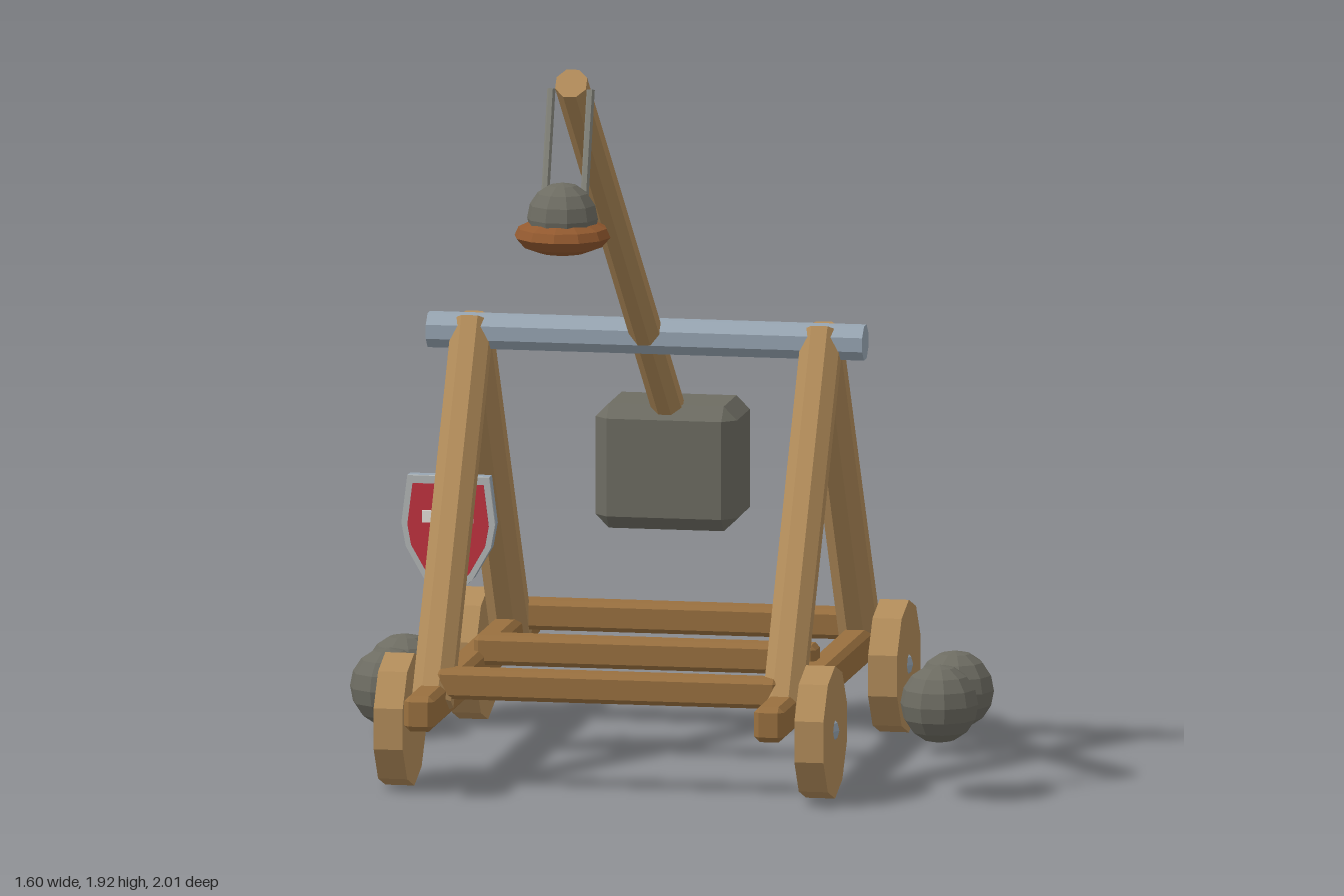
import * as THREE from 'three';
import { ConvexGeometry } from 'three/addons/geometries/ConvexGeometry.js';

const mat = (color, extra = {}) => new THREE.MeshStandardMaterial({ color, flatShading: true, ...extra });
const wood = mat(0xb28c5a);
const darkWood = mat(0x99703f);
const metal = mat(0x98a6b3);
const stone = mat(0x6d6c62);
const leather = mat(0x92592f);
const rope = mat(0x85857c);
const steel = mat(0xb4b8b8);
const red = mat(0xc23340);
const white = mat(0xe4e0da);

const V = (x, y, z) => new THREE.Vector3(x, y, z);

// Box with every edge chamfered by c
function chamferBox(w, h, d, c) {
  const points = [];
  for (const sx of [-1, 1]) for (const sy of [-1, 1]) for (const sz of [-1, 1]) {
    const x = w / 2, y = h / 2, z = d / 2;
    points.push(
      V(sx * x, sy * (y - c), sz * (z - c)),
      V(sx * (x - c), sy * y, sz * (z - c)),
      V(sx * (x - c), sy * (y - c), sz * z));
  }
  return new ConvexGeometry(points);
}

// Straight pole between two points, flat side outward; r is the half width
function pole(a, b, r, sides = 8) {
  const dir = b.clone().sub(a);
  const geo = new THREE.CylinderGeometry(r, r, dir.length(), sides);
  geo.scale(1 / Math.cos(Math.PI / sides), 1, 1 / Math.cos(Math.PI / sides));
  geo.rotateY(Math.PI / sides);
  geo.applyQuaternion(new THREE.Quaternion().setFromUnitVectors(V(0, 1, 0), dir.normalize()));
  const mid = a.clone().add(b).multiplyScalar(0.5);
  return geo.translate(mid.x, mid.y, mid.z);
}

// Shield outline around its own centre line, scaled toward the middle
function shieldShape(s) {
  const half = [[0.104, 0.15], [0.119, 0.03], [0.108, -0.03], [0.062, -0.11]];
  const pts = [
    ...half.map(([x, y]) => new THREE.Vector2(x * s, y * s)),
    new THREE.Vector2(0, -0.17 * s),
    ...half.slice().reverse().map(([x, y]) => new THREE.Vector2(-x * s, y * s)),
  ];
  return new THREE.Shape(pts.reverse());
}

export function createModel() {
  const model = new THREE.Group();
  model.name = 'catapult';
  const add = (name, geo, material, x = 0, y = 0, z = 0, parent = model) => {
    const mesh = new THREE.Mesh(geo, material);
    mesh.name = name;
    mesh.position.set(x, y, z);
    parent.add(mesh);
    return mesh;
  };

  // Base frame: cross beams between two side rails
  for (const z of [0.26, -0.26, -0.8]) {
    add('crossBeam', chamferBox(0.87, 0.075, 0.075, 0.012), darkWood, 0, 0.267, z);
  }

  for (const s of [-1, 1]) {
    const side = s > 0 ? 'left' : 'right';
    add(side + 'Rail', chamferBox(0.076, 0.09, 1.475, 0.014), darkWood, s * 0.445, 0.22, -0.262);

    // A-frame legs leaning together under the pivot bar
    add(side + 'FrontLeg', pole(V(s * 0.445, 0.215, 0.28), V(s * 0.445, 1.09, -0.268), 0.05), wood);
    add(side + 'BackLeg', pole(V(s * 0.445, 0.215, -0.8), V(s * 0.445, 1.09, -0.252), 0.05), wood);

    // Wheels with rounded hubs
    for (const z of [0.242, -0.766]) {
      const wheel = new THREE.CylinderGeometry(0.168, 0.168, 0.074, 10);
      wheel.rotateY(Math.PI / 10).rotateZ(Math.PI / 2);
      add(side + 'Wheel', wheel, wood, s * 0.535, 0.168, z);
      add(side + 'Hub', new THREE.SphereGeometry(0.038, 8, 6), metal, s * 0.545, 0.173, z);
    }

    // Spare stones on the ground
    for (const z of [-0.495, -0.71]) {
      add(side + 'SpareStone', new THREE.SphereGeometry(0.099, 10, 8), stone, s * 0.7, 0.122, z);
    }

    // Ropes holding the sling bowl
    add(side + 'Rope', pole(V(s * 0.05, 1.87, 0.777), V(s * 0.05, 1.54, 0.885), 0.009, 6), rope);
  }

  // Pivot bar, throwing arm and counterweight
  add('pivotBar', pole(V(-0.555, 1.072, -0.262), V(0.555, 1.072, -0.262), 0.043), metal);
  add('throwingArm', pole(V(0, 1.885, 0.775), V(0, 0.848, -0.545), 0.039), wood);
  add('counterweight', chamferBox(0.36, 0.316, 0.242, 0.034), stone, 0, 0.695, -0.612);

  // Sling bowl with its stone
  const profile = [[0, -0.043], [0.06, -0.04], [0.1, -0.025], [0.122, 0], [0.112, 0.022], [0.085, 0.035], [0, 0.02]]
    .map(([x, y]) => new THREE.Vector2(x, y));
  add('slingBowl', new THREE.LatheGeometry(profile, 12), leather, 0, 1.517, 0.893);
  add('slingStone', new THREE.SphereGeometry(0.09, 10, 8), stone, 0, 1.563, 0.893);

  // Shield hanging beside the right front leg
  const shield = new THREE.Group();
  shield.name = 'shield';
  shield.position.set(-0.482, 0.572, -0.173);
  model.add(shield);
  const slab = (shape, depth) => new THREE.ExtrudeGeometry(shape, { depth, bevelEnabled: false });
  add('shieldBack', slab(shieldShape(1), 0.03), metal, 0, 0, 0, shield);
  const rim = shieldShape(1);
  rim.holes.push(new THREE.Path(shieldShape(0.87).getPoints()));
  add('shieldRim', slab(rim, 0.01), steel, 0, 0, 0.03, shield);
  add('shieldPanel', slab(shieldShape(0.87), 0.012), red, 0, 0, 0.03, shield);
  add('shieldBarUpright', new THREE.BoxGeometry(0.03, 0.19, 0.01), white, 0, 0.025, 0.044, shield);
  add('shieldBarAcross', new THREE.BoxGeometry(0.13, 0.03, 0.01), white, 0, 0.048, 0.044, shield);

  return model;
}
